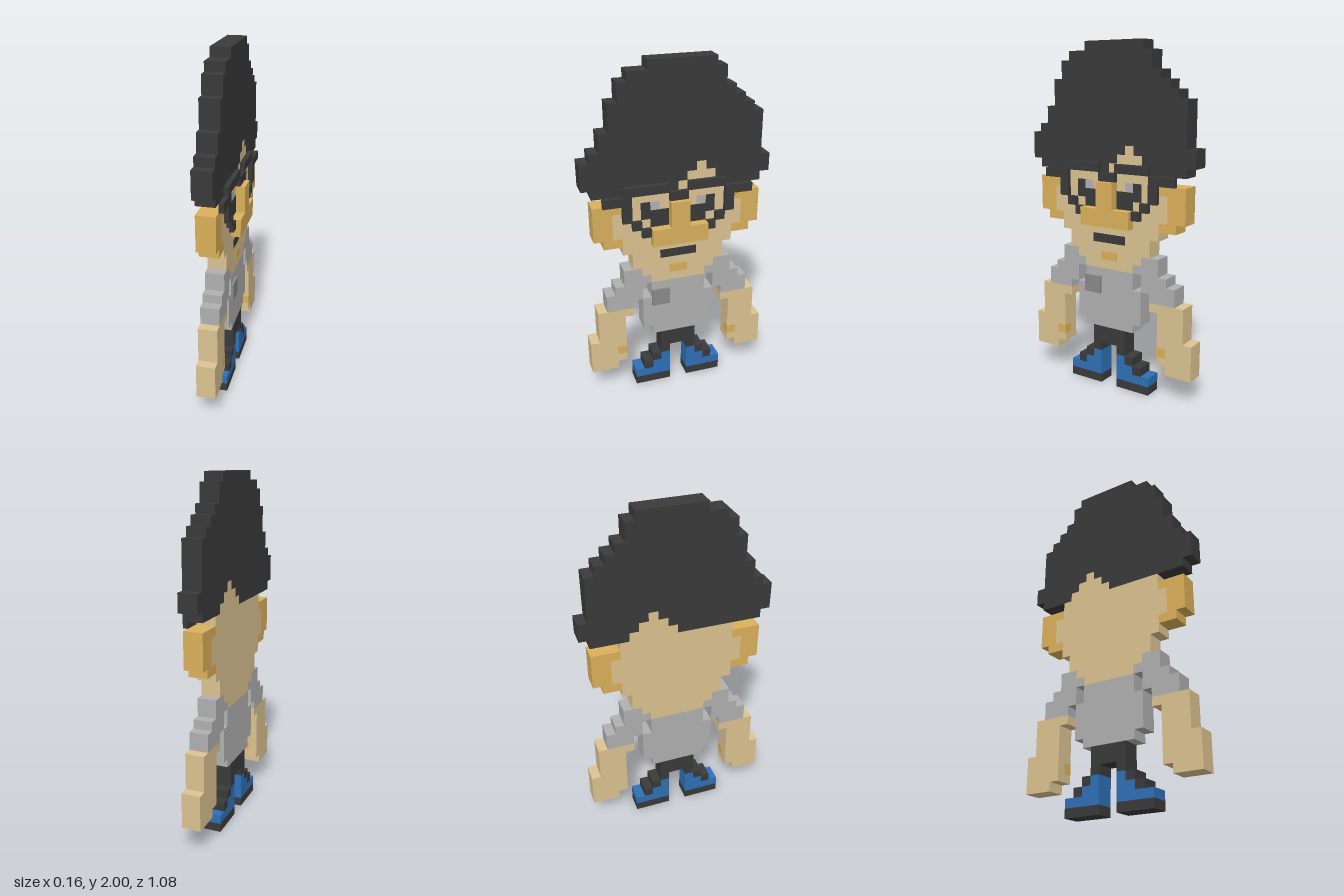
import * as THREE from 'three';

// Grid cell: W wide and deep, H high; 20 columns by 39 rows, counted from the top
const W = 1.083 / 20, H = 2 / 39;
const COLS = 20, ROWS = 39;
const BACK = -1.5 * W, FRONT = 0.5 * W;
const EPS = 0.0015;

const mat = (color) => new THREE.MeshStandardMaterial({ color, flatShading: true });

// One stepped slab: spans are [rowCount, firstColumn, endColumn] going downwards
function slabGeometry(startRow, spans, x0, x1, grow = 0) {
  const right = [], left = [];
  let row = startRow;
  spans.forEach(([n, a, b], i) => {
    const top = (ROWS - row) * H + (i === 0 ? grow : 0);
    row += n;
    const bottom = (ROWS - row) * H - (i === spans.length - 1 ? grow : 0);
    const l = (a - COLS / 2) * W - grow, r = (b - COLS / 2) * W + grow;
    right.push(new THREE.Vector2(r, top), new THREE.Vector2(r, bottom));
    left.push(new THREE.Vector2(l, top), new THREE.Vector2(l, bottom));
  });
  const shape = new THREE.Shape([...left, ...right.reverse()]);
  const geo = new THREE.ExtrudeGeometry(shape, { depth: x1 - x0, bevelEnabled: false });
  geo.rotateY(Math.PI / 2);
  geo.translate(x0, 0, 0);
  return geo;
}

const mirrored = (spans) => spans.map(([n, a, b]) => [n, COLS - b, COLS - a]);

export function createModel() {
  const group = new THREE.Group();
  const dark = mat(0x3a3a3a), skin = mat(0xdcc391), tan = mat(0xdbb05b);
  const shirt = mat(0xb0b0b0), pocket = mat(0x8a8a8a), blue = mat(0x2e70b6), glint = mat(0xb4b0b4);

  const add = (name, material, row, spans, x0 = BACK, x1 = FRONT, grow = 0) => {
    const mesh = new THREE.Mesh(slabGeometry(row, spans, x0, x1, grow), material);
    mesh.name = name;
    group.add(mesh);
  };
  const pair = (name, material, row, spans, ...rest) => {
    add(name + 'A', material, row, spans, ...rest);
    add(name + 'B', material, row, mirrored(spans), ...rest);
  };
  // Flush colour patches sit in the front layer
  const patch = [FRONT - W, FRONT + EPS];

  // Hair, with a parted fringe
  add('hair', dark, 0, [[1, 7, 14], [1, 5, 15], [1, 4, 15], [1, 4, 16], [1, 3, 17], [1, 3, 18],
    [1, 3, 19], [2, 2, 19], [1, 1, 19], [1, 0, 19]]);
  add('fringeA', dark, 11, [[1, 0, 12], [1, 0, 11], [1, 1, 10]]);
  add('fringeB', dark, 11, [[1, 13, 20], [1, 14, 20], [1, 15, 19]]);

  // Head
  add('face', skin, 11, [[1, 12, 13], [1, 11, 14], [1, 10, 15], [2, 4, 16], [3, 3, 17],
    [2, 4, 16], [2, 5, 15], [1, 6, 14], [1, 7, 13]]);
  pair('ear', tan, 15, [[1, 1, 4], [3, 1, 3], [1, 2, 4]]);
  add('nose', tan, 15, [[3, 9, 11], [2, 7, 13]], FRONT, FRONT + W);
  add('mouth', dark, 21, [[1, 8, 12]], ...patch);
  add('chin', tan, 23, [[1, 9, 11]], ...patch);
  pair('eye', dark, 15, [[1, 6, 7], [1, 6, 9], [1, 7, 9]], ...patch);
  pair('eyeGlint', glint, 15, [[1, 7, 8]], ...patch);

  // Glasses
  const rim = [FRONT, FRONT + W / 2];
  add('glassesTopA', dark, 13, [[1, 4, 9]], ...rim);
  add('glassesTopB', dark, 13, [[1, 11, 15]], ...rim);
  add('glassesBridge', dark, 14, [[1, 9, 11]], ...rim);
  pair('glassesSide', dark, 14, [[1, 2, 5], [2, 4, 5]], ...rim);
  pair('glassesLowerRim', dark, 17, [[1, 5, 6]], ...rim);
  pair('glassesRimTip', dark, 18, [[1, 6, 7]], ...rim);

  // Shirt
  add('shirtBody', shirt, 25, [[2, 7, 13], [4, 6, 14], [1, 7, 13]]);
  pair('sleeve', shirt, 23, [[1, 4, 6], [1, 4, 7], [1, 3, 6], [1, 2, 6], [1, 2, 5]]);
  add('pocket', pocket, 26, [[2, 7, 9]], FRONT, FRONT + W / 4);

  // Arms and thumbs
  pair('arm', skin, 28, [[1, 1, 5], [3, 1, 4], [3, 0, 4], [1, 0, 3]]);
  pair('thumb', tan, 33, [[1, 3, 4]], ...patch, EPS);

  // Trousers, shoes, laces and soles
  add('trousers', dark, 32, [[2, 8, 12]]);
  pair('leg', dark, 34, [[1, 8, 9]]);
  pair('shoe', blue, 35, [[1, 8, 9], [1, 7, 9], [1, 5, 9]]);
  pair('shoeCuff', dark, 35, [[1, 7, 8]]);
  pair('shoeLace', dark, 36, [[1, 6, 7]]);
  pair('sole', dark, 38, [[1, 5, 9]]);

  return group;
}
